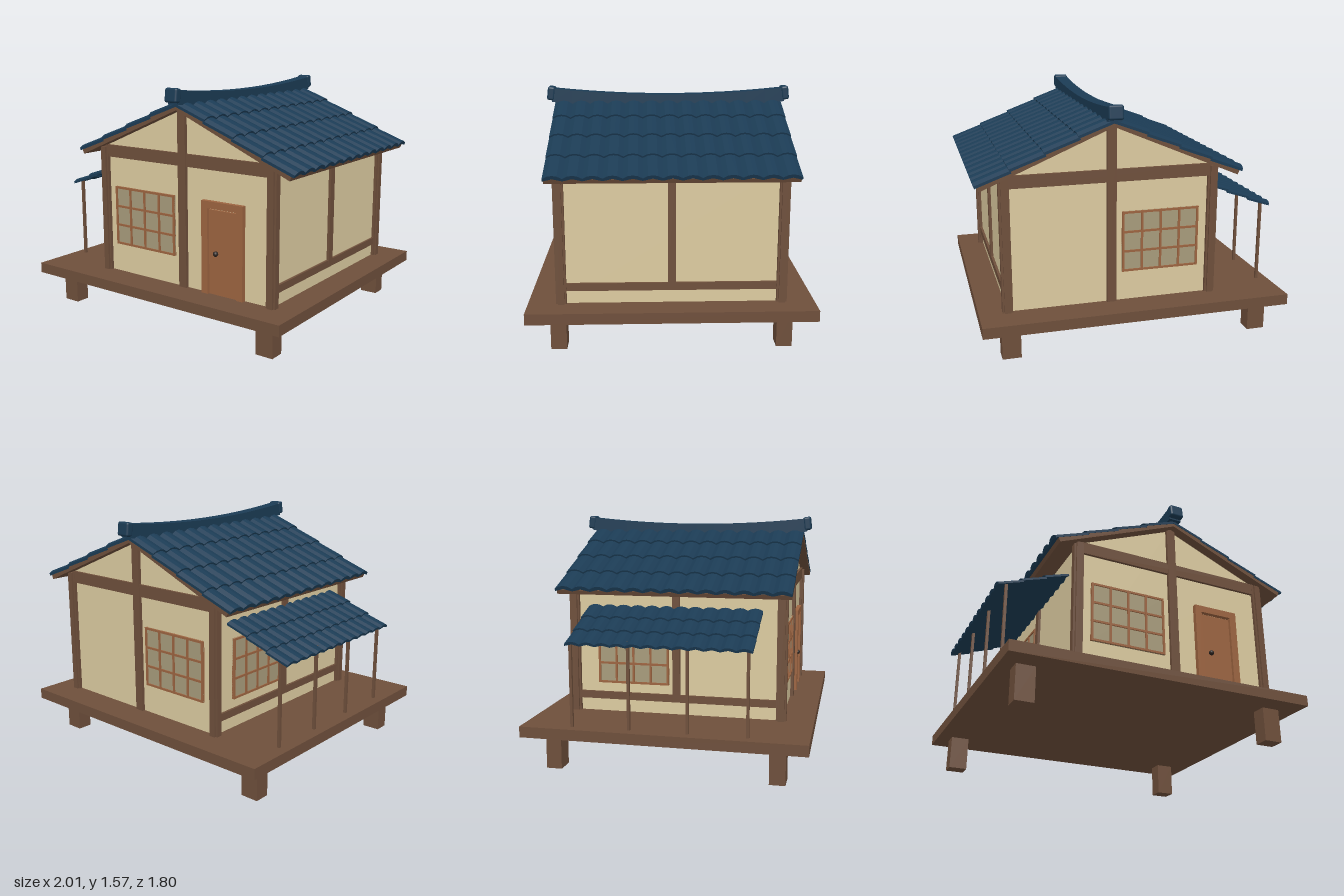
import * as THREE from 'three';
import { mergeGeometries } from 'three/addons/utils/BufferGeometryUtils.js';
import { RoundedBoxGeometry } from 'three/addons/geometries/RoundedBoxGeometry.js';

const mat = (color) => new THREE.MeshStandardMaterial({ color });
const WOOD = mat(0x6e4f3b), PLASTER = mat(0xdccba0), ROOF = mat(0x1b3b54);
const TRIM = mat(0x9c6440), PANE = mat(0xa79b7b), KNOB = mat(0x2c2420);
const CX = 0.15; // centre line of the house
const GROUND = 0.29; // top of the deck

function add(parent, name, geometry, material, x = 0, y = 0, z = 0) {
  const mesh = new THREE.Mesh(geometry, material);
  mesh.name = name;
  mesh.position.set(x, y, z);
  parent.add(mesh);
  return mesh;
}

// box given by its min and max on each axis
function box(parent, name, material, [x0, x1], [y0, y1], [z0, z1]) {
  return add(parent, name, new THREE.BoxGeometry(x1 - x0, y1 - y0, z1 - z0), material,
    (x0 + x1) / 2, (y0 + y1) / 2, (z0 + z1) / 2);
}

// arched tiles in rows and columns, running down +x from the origin
function tileField(rows, cols, rowLength, width, rise) {
  const w = width / cols, h = w / 2, list = [];
  const shape = new THREE.Shape([
    [-h, 0], [0, rise * 0.4], [h, 0], [h, rise * 0.45], [h * 0.5, rise * 0.87],
    [0, rise], [-h * 0.5, rise * 0.87], [-h, rise * 0.45],
  ].map(([x, y]) => new THREE.Vector2(x, y)));
  const tilt = 0.011;
  const tile = new THREE.ExtrudeGeometry(shape, { depth: rowLength * 1.03, bevelEnabled: false });
  tile.rotateY(Math.PI / 2).rotateZ(tilt / rowLength).translate(0, -tilt, 0);
  for (let r = 0; r < rows; r++) {
    for (let c = 0; c < cols; c++) {
      list.push(tile.clone().translate(r * rowLength, 0, (c + 0.5) * w - width / 2));
    }
  }
  return mergeGeometries(list);
}

// lattice window facing +z, centred on its origin
function makeWindow(width, height) {
  const g = new THREE.Group();
  g.name = 'window';
  const t = 0.014, cols = 4, rows = 3;
  add(g, 'windowPane', new THREE.BoxGeometry(width, height, 0.008), PANE);
  for (let i = 0; i <= cols; i++) {
    const x = (i / cols - 0.5) * (width - t);
    add(g, 'windowBar', new THREE.BoxGeometry(t, height, 0.024), TRIM, x);
  }
  for (let j = 0; j <= rows; j++) {
    const y = (j / rows - 0.5) * (height - t);
    add(g, 'windowCrossbar', new THREE.BoxGeometry(width, t, 0.022), TRIM, 0, y);
  }
  return g;
}

export function createModel() {
  const model = new THREE.Group();
  model.name = 'house';

  // deck on four stubby legs
  box(model, 'deck', WOOD, [-1, 1], [0.22, GROUND], [-0.9, 0.9]);
  for (const x of [-0.85, 0.81]) {
    for (const z of [-0.71, 0.71]) {
      box(model, 'deckLeg', WOOD, [x - 0.06, x + 0.06], [0, 0.22], [z - 0.05, z + 0.05]);
    }
  }

  // plaster body with gables
  const house = new THREE.Group();
  house.name = 'houseBody';
  house.position.x = CX;
  model.add(house);
  const outline = new THREE.Shape([[-0.67, GROUND], [0.67, GROUND], [0.67, 1.165], [0, 1.448], [-0.67, 1.165]]
    .map(([x, y]) => new THREE.Vector2(x, y)));
  add(house, 'walls', new THREE.ExtrudeGeometry(outline, { depth: 1.38, bevelEnabled: false }), PLASTER, 0, 0, -0.69);

  // notched corner posts
  for (const x of [-0.67, 0.67]) {
    for (const z of [-0.69, 0.69]) {
      for (const [a, b] of [[0.033, 0.02], [0.02, 0.033]]) {
        box(house, 'cornerPost', WOOD, [x - a, x + a], [GROUND, 1.15], [z - b, z + b]);
      }
    }
  }

  // timber framing on all four sides
  for (const s of [-1, 1]) {
    const z = s * 0.69, x = s * 0.67;
    box(house, 'gablePost', WOOD, [-0.03, 0.03], [GROUND, 1.445], [z - 0.022, z + 0.022]);
    box(house, 'gableBeam', WOOD, [-0.66, 0.66], [1.083, 1.163], [z - 0.018, z + 0.018]);
    box(house, 'sidePost', WOOD, [x - 0.018, x + 0.018], [0.4, 1.16], [-0.025, 0.025]);
    box(house, 'sideRail', WOOD, [x - 0.016, x + 0.016], [0.374, 0.423], [-0.67, 0.67]);
  }

  // windows at front, back and under the side canopy
  for (const [x, z, turn, w] of [[-0.175, 0.695, 0, 0.51], [-0.175, -0.695, Math.PI, 0.51],
    [-0.52, -0.29, -Math.PI / 2, 0.48]]) {
    const win = makeWindow(w, 0.4);
    win.position.set(turn === -Math.PI / 2 ? x - 0.005 : x, 0.685, z);
    win.rotation.y = turn;
    model.add(win);
  }

  // door
  box(model, 'doorJamb', TRIM, [0.31, 0.357], [GROUND, 0.89], [0.68, 0.72]);
  box(model, 'doorJamb', TRIM, [0.575, 0.622], [GROUND, 0.89], [0.68, 0.72]);
  box(model, 'doorLintel', TRIM, [0.357, 0.575], [0.845, 0.89], [0.68, 0.72]);
  box(model, 'doorPanel', TRIM, [0.36, 0.572], [GROUND, 0.835], [0.68, 0.705]);
  add(model, 'doorKnob', new THREE.SphereGeometry(0.017, 12, 8), KNOB, 0.417, 0.56, 0.715);

  // main roof: a board and four rows of tiles on each slope
  const pitch = Math.atan(0.423);
  const tiles = tileField(4, 13, 0.228, 1.52, 0.038);
  for (const turn of [0, Math.PI]) {
    const side = new THREE.Group();
    side.name = 'roofSide';
    side.position.set(CX, 1.469, 0);
    side.rotation.y = turn;
    const slope = new THREE.Group();
    slope.name = 'roofSlope';
    slope.rotation.z = -pitch;
    side.add(slope);
    box(slope, 'roofBoard', WOOD, [0, 0.9], [-0.03, 0], [-0.757, 0.757]);
    add(slope, 'roofTiles', tiles, ROOF);
    model.add(side);
  }

  // ridge beam, sagging in the middle, with end caps
  const ridge = new THREE.BoxGeometry(0.086, 0.09, 1.56, 1, 1, 12);
  const p = ridge.attributes.position;
  for (let i = 0; i < p.count; i++) p.setY(i, p.getY(i) + 0.042 * (p.getZ(i) / 0.78) ** 2);
  ridge.computeVertexNormals();
  add(model, 'ridgeBeam', ridge, ROOF, CX, 1.476, 0);
  for (const s of [-1, 1]) {
    const cap = add(model, 'ridgeCap', new RoundedBoxGeometry(0.096, 0.09, 0.05, 2, 0.014), ROOF, CX, 1.529, s * 0.785);
    cap.rotation.x = -s * 0.12;
  }

  // side canopy on thin posts
  const canopy = new THREE.Group();
  canopy.name = 'canopy';
  canopy.position.set(-0.53, 0.995, -0.013);
  canopy.rotation.y = Math.PI;
  add(canopy, 'canopyTiles', tileField(3, 12, 0.162, 1.155, 0.03), ROOF).rotation.z = -Math.atan(0.4);
  model.add(canopy);
  for (let i = 0; i < 4; i++) {
    const z = -0.575 + i * 0.369;
    box(model, 'canopyPost', WOOD, [-0.938, -0.92], [GROUND, 0.845], [z - 0.009, z + 0.009]);
  }
  return model;
}
